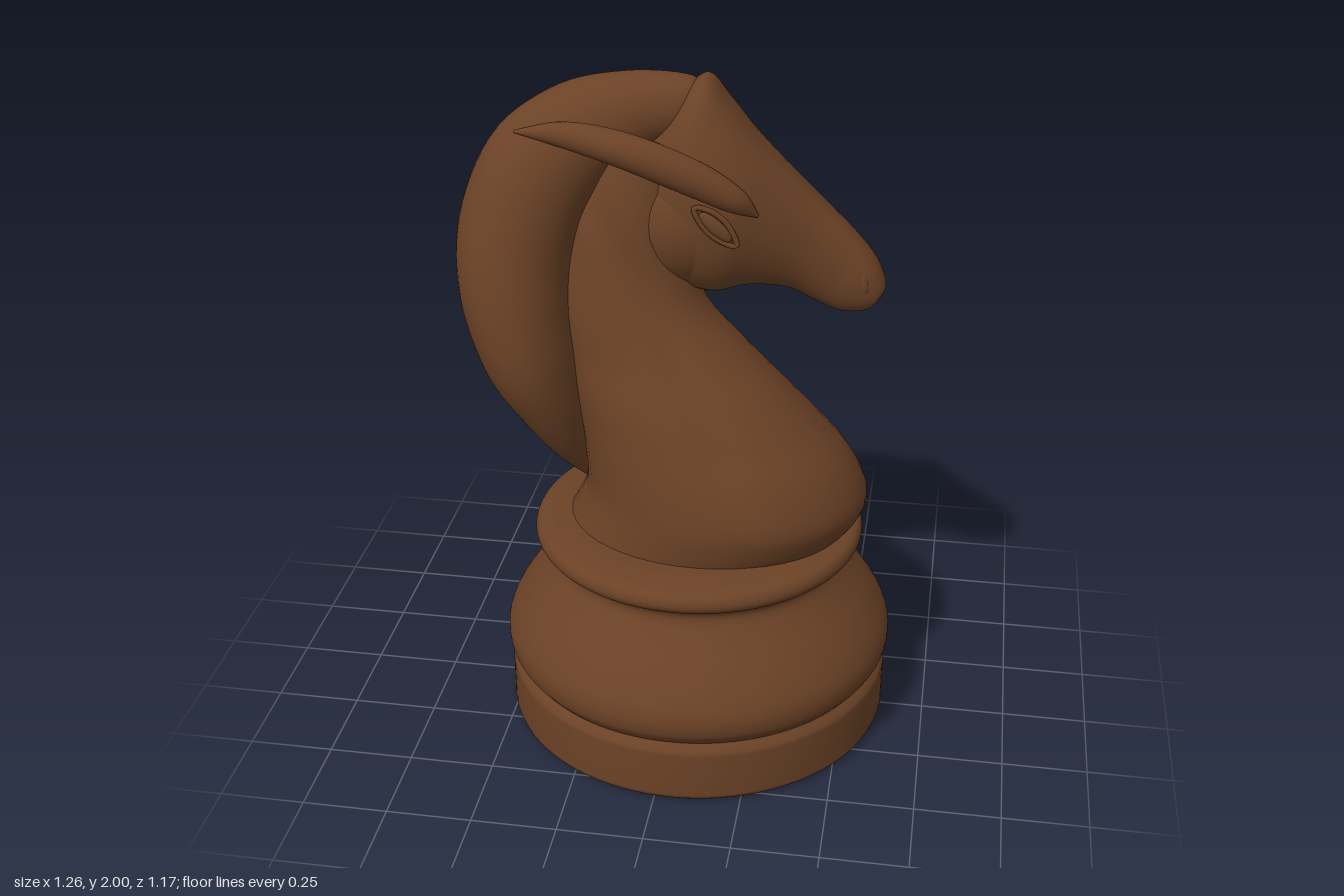
import * as THREE from 'three';

const wood = new THREE.MeshStandardMaterial({ color: 0x6b4226 });
wood.name = 'brownWood';

// Skin over elliptical rings. Each row: [ax, ay, bx, by, z, w], where a and b are
// opposite ends of the ring in the xy plane, z its centre and w its half width.
function loft(rows, { steps = 64, sides = 48, width = () => 1 } = {}) {
  const curve = (f) => new THREE.CatmullRomCurve3(rows.map(f), false, 'catmullrom', 0.5);
  const ca = curve((r) => new THREE.Vector3(r[0], r[1], r[4]));
  const cb = curve((r) => new THREE.Vector3(r[2], r[3], r[5]));
  const pos = [], index = [];
  const ends = [];
  for (let i = 0; i <= steps; i++) {
    const a = ca.getPoint(i / steps), b = cb.getPoint(i / steps);
    const cx = (a.x + b.x) / 2, cy = (a.y + b.y) / 2;
    if (i === 0 || i === steps) ends.push([cx, cy, a.z]);
    for (let j = 0; j < sides; j++) {
      const t = (j / sides) * Math.PI * 2, k = Math.cos(t);
      const x = cx + ((b.x - a.x) / 2) * k, y = cy + ((b.y - a.y) / 2) * k;
      pos.push(x, y, a.z + b.z * Math.sin(t) * width(k, x, y));
    }
  }
  for (let i = 0; i < steps; i++) {
    for (let j = 0; j < sides; j++) {
      const p = i * sides + j, q = i * sides + ((j + 1) % sides);
      index.push(p, p + sides, q, q, p + sides, q + sides);
    }
  }
  // End caps
  const c0 = pos.length / 3, last = steps * sides;
  pos.push(...ends[0], ...ends[1]);
  for (let j = 0; j < sides; j++) {
    const n = (j + 1) % sides;
    index.push(c0, j, n, c0 + 1, last + n, last + j);
  }
  const g = new THREE.BufferGeometry();
  g.setAttribute('position', new THREE.Float32BufferAttribute(pos, 3));
  g.setIndex(index);
  g.computeVertexNormals();
  return g;
}

export function createModel() {
  const model = new THREE.Group();
  model.name = 'chessKnight';
  const add = (name, geometry, parent = model) => {
    const mesh = new THREE.Mesh(geometry, wood);
    mesh.name = name;
    parent.add(mesh);
    return mesh;
  };
  const V = (x, y) => new THREE.Vector2(x, y);

  // Turned base: straight foot, bulging body and rolled rim
  const foot = [V(0, 0), V(0.55, 0), V(0.562, 0.003), V(0.572, 0.012), V(0.576, 0.025),
    V(0.576, 0.16), V(0.572, 0.174), V(0.56, 0.186)];
  const body = new THREE.SplineCurve([V(0.552, 0.194), V(0.565, 0.21), V(0.582, 0.24),
    V(0.584, 0.29), V(0.562, 0.345), V(0.52, 0.41), V(0.47, 0.475), V(0.435, 0.53),
    V(0.442, 0.565), V(0.48, 0.59), V(0.491, 0.615), V(0.478, 0.642), V(0.44, 0.654)]);
  const top = [V(0.4, 0.657), V(0.38, 0.66), V(0, 0.66)];
  add('base', new THREE.LatheGeometry([...foot, ...body.getPoints(72), ...top], 96))
    .position.x = 0.045;

  // Neck and chest, with a muscle groove running down each side
  const groove = (k, x, y) => {
    const d = (x - 0.22 + (y - 0.85) * 0.56) / 0.045;
    const fade = THREE.MathUtils.smoothstep(y, 0.75, 1.0);
    return 1 - 0.09 * fade * Math.exp(-d * d);
  };
  add('neck', loft([
    [-0.36, 0.62, 0.46, 0.62, 0.01, 0.33],
    [-0.32, 0.69, 0.525, 0.69, 0.012, 0.345],
    [-0.285, 0.78, 0.545, 0.77, 0.02, 0.347],
    [-0.285, 0.89, 0.49, 0.89, 0.035, 0.315],
    [-0.3, 1.0, 0.395, 1.0, 0.04, 0.278],
    [-0.32, 1.1, 0.3, 1.1, 0.042, 0.243],
    [-0.34, 1.21, 0.19, 1.21, 0.035, 0.205],
    [-0.36, 1.34, 0.075, 1.34, 0.03, 0.173],
    [-0.35, 1.48, 0.04, 1.46, 0.015, 0.16],
    [-0.31, 1.63, 0.03, 1.63, 0.005, 0.152],
    [-0.21, 1.82, 0.03, 1.83, 0, 0.125],
  ], { width: groove }));

  // Head from the poll to the muzzle, with full, rounded sections
  add('head', loft([
    [0.0, 1.96, -0.17, 1.66, 0, 0.06],
    [0.065, 2.0, -0.13, 1.49, -0.005, 0.138],
    [0.125, 1.93, -0.01, 1.405, -0.008, 0.168],
    [0.195, 1.84, 0.09, 1.38, -0.014, 0.163],
    [0.28, 1.745, 0.18, 1.395, -0.033, 0.136],
    [0.38, 1.64, 0.29, 1.382, -0.055, 0.103],
    [0.47, 1.55, 0.37, 1.34, -0.066, 0.085],
    [0.535, 1.47, 0.44, 1.312, -0.07, 0.075],
    [0.565, 1.4, 0.51, 1.315, -0.072, 0.053],
    [0.562, 1.37, 0.542, 1.338, -0.072, 0.018],
  ], { width: (k) => Math.pow(Math.max(1 - k * k, 1e-4), -0.1) }));

  // Round cheeks
  const cheeks = add('cheeks', new THREE.SphereGeometry(1, 48, 32));
  cheeks.scale.set(0.19, 0.2, 0.164);
  cheeks.position.set(0, 1.595, -0.003);

  // Mane sweeping over the neck and curling to the left
  add('mane', loft([
    [0.045, 1.9, 0.055, 1.955, -0.003, 0.03],
    [0.0, 1.83, 0.01, 1.995, -0.003, 0.072],
    [-0.08, 1.8, -0.16, 2.0, 0.008, 0.092],
    [-0.18, 1.74, -0.35, 1.957, 0.03, 0.122],
    [-0.26, 1.62, -0.52, 1.83, 0.058, 0.155],
    [-0.3, 1.48, -0.615, 1.61, 0.085, 0.18],
    [-0.305, 1.35, -0.618, 1.38, 0.113, 0.188],
    [-0.29, 1.2, -0.55, 1.16, 0.125, 0.178],
    [-0.275, 1.05, -0.46, 1.01, 0.11, 0.142],
    [-0.265, 0.9, -0.37, 0.87, 0.07, 0.095],
    [-0.27, 0.775, -0.285, 0.765, 0.04, 0.02],
  ]));

  // Long ears laid back along the head
  const earShape = [
    [0.22, 1.645, 0.222, 1.655, 0.005], [0.14, 1.67, 0.18, 1.73, 0.033],
    [0.0, 1.73, 0.06, 1.815, 0.042], [-0.15, 1.79, -0.13, 1.885, 0.046],
    [-0.3, 1.83, -0.3, 1.902, 0.034], [-0.44, 1.86, -0.44, 1.868, 0.005],
  ];
  const ear = (name, depths) => add(name, loft(
    earShape.map((r, i) => [...r.slice(0, 4), depths[i], r[4]]), { steps: 40, sides: 24 }));
  ear('leftEar', [0.12, 0.145, 0.168, 0.178, 0.165, 0.15]);
  ear('rightEar', [-0.15, -0.162, -0.16, -0.135, -0.095, -0.03]);

  // Almond eyes with thin lids, and nostrils
  const almond = new THREE.CatmullRomCurve3(
    [[-0.08, 0], [-0.04, 0.024], [0.02, 0.027], [0.08, 0], [0.03, -0.022], [-0.03, -0.022]]
      .map(([x, y]) => new THREE.Vector3(x, y, 0)), true);
  for (const s of [1, -1]) {
    const side = s > 0 ? 'left' : 'right';
    const eye = new THREE.Group();
    eye.name = side + 'Eye';
    add('eyeball', new THREE.SphereGeometry(1, 24, 16), eye).scale.set(0.06, 0.02, 0.014);
    add('eyelid', new THREE.TubeGeometry(almond, 48, 0.008, 8, true), eye);
    eye.position.set(0.11, 1.625, s > 0 ? 0.157 : -0.173);
    eye.rotation.set(0, s > 0 ? 0.2 : 0, -0.77, 'YXZ');
    model.add(eye);

    const nostril = add(side + 'Nostril', new THREE.SphereGeometry(1, 16, 12));
    nostril.scale.set(0.014, 0.035, 0.01);
    nostril.position.set(0.505, 1.415, s * 0.064 - 0.071);
    nostril.rotation.z = 0.2;
  }
  return model;
}
